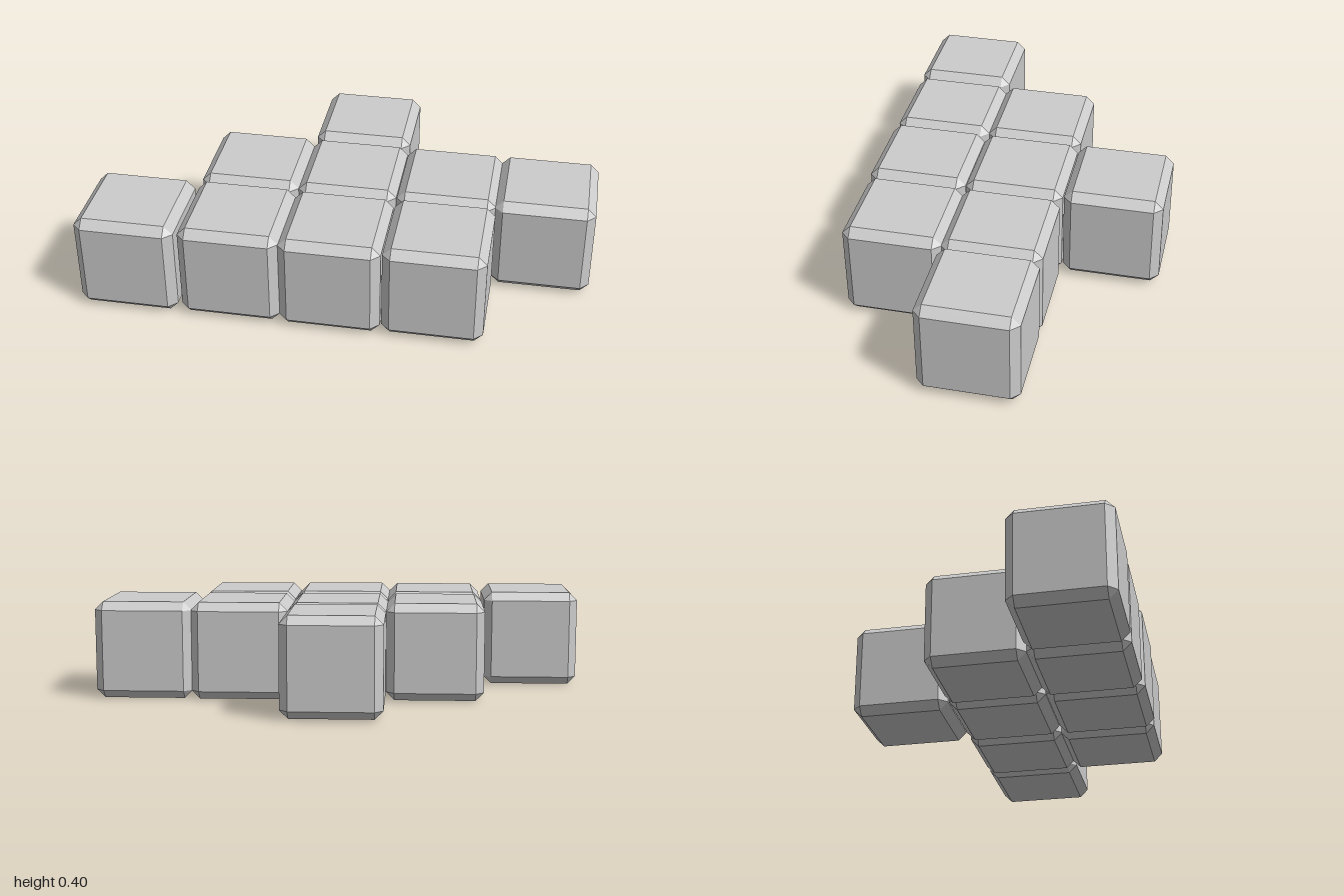
import * as THREE from 'three';
import { ConvexGeometry } from 'three/addons/geometries/ConvexGeometry.js';

// Cube with flat chamfered edges and triangular corners
function chamferedCube(size, chamfer) {
  const h = size / 2, k = h - chamfer;
  const points = [];
  for (const x of [-1, 1]) for (const y of [-1, 1]) for (const z of [-1, 1]) {
    points.push(
      new THREE.Vector3(x * h, y * k, z * k),
      new THREE.Vector3(x * k, y * h, z * k),
      new THREE.Vector3(x * k, y * k, z * h),
    );
  }
  return new ConvexGeometry(points);
}

export function createModel() {
  const group = new THREE.Group();
  group.name = 'cubeCluster';
  const material = new THREE.MeshStandardMaterial({ color: 0xcccccc, flatShading: true });
  const geometry = chamferedCube(0.398, 0.034);

  // Rows of slightly uneven cubes: centre x, y, z
  const rows = {
    frontCube: [[-0.8, 0.2, 0.4], [-0.387, 0.2, 0.395], [0.01, 0.2, 0.4], [0.412, 0.199, 0.391]],
    middleCube: [[-0.388, 0.2, -0.001], [0.01, 0.2, 0], [0.41, 0.199, -0.001], [0.802, 0.2, -0.001]],
    backCube: [[0.01, 0.204, -0.403]],
  };
  for (const [name, centres] of Object.entries(rows)) {
    centres.forEach((centre, i) => {
      const cube = new THREE.Mesh(geometry, material);
      cube.name = name + (i + 1);
      cube.position.set(...centre);
      group.add(cube);
    });
  }
  return group;
}
